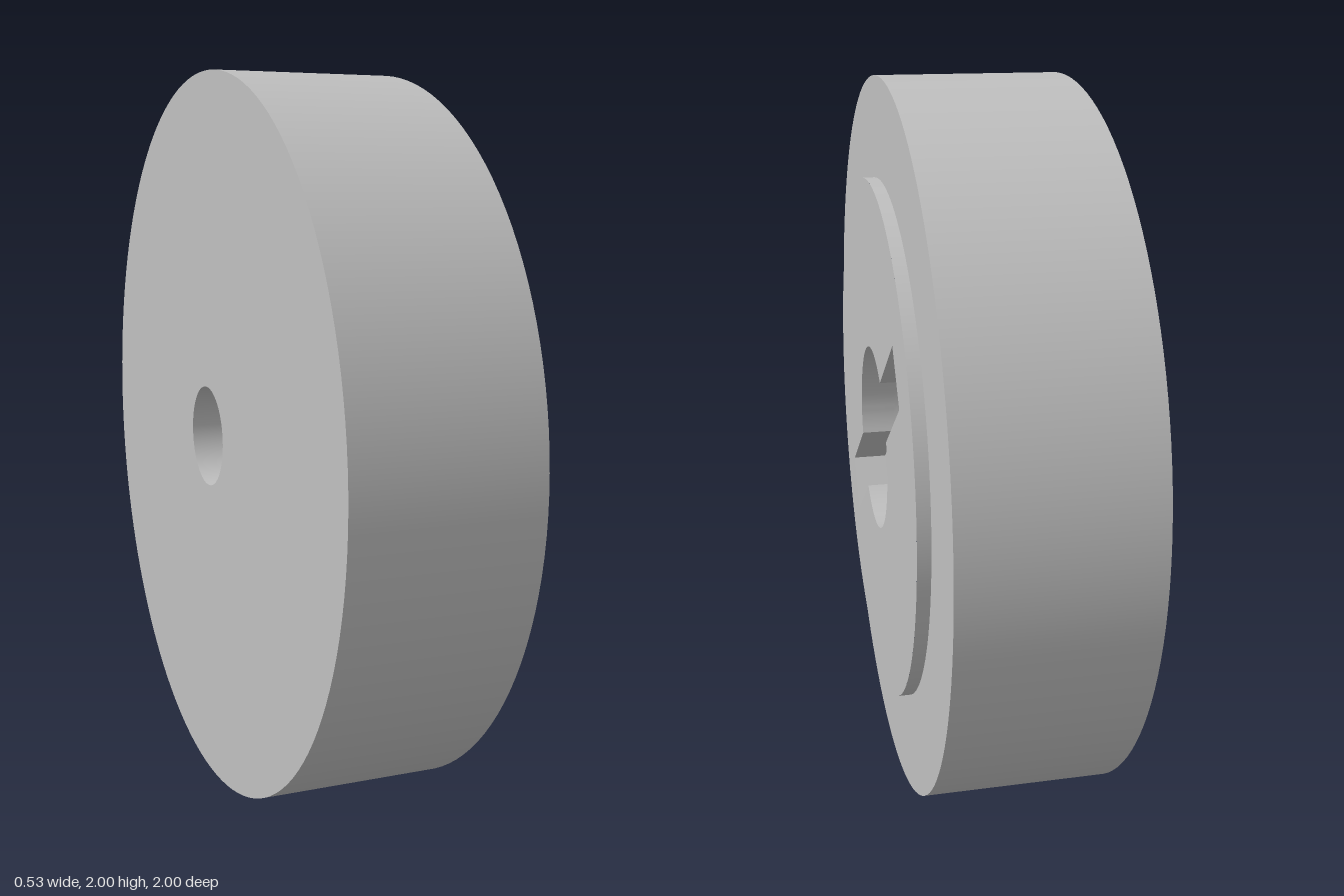
import * as THREE from 'three';
import { toCreasedNormals } from 'three/addons/utils/BufferGeometryUtils.js';

const BORE = 0.26, HOLE = 0.14, BOSS = 0.73, RIM = 1;
const BACK = -0.265, SHOULDER = 0.23, FACE = 0.265; // along the axle
const BORE_FLOOR = -0.015, SLOT_FLOOR = 0.165;
const SLOT_HALF = 0.083, SLOT_LENGTH = 0.545, SLOT_ANGLE = 0.616;
const SEGMENTS = 128;

// points on the bore circle between two angles
function arc(from, to, steps) {
  return Array.from({ length: steps + 1 }, (_, i) => {
    const a = from + ((to - from) * i) / steps;
    return new THREE.Vector2(BORE * Math.cos(a), BORE * Math.sin(a));
  });
}

export function createModel() {
  const grey = new THREE.MeshStandardMaterial({ color: 0xbfbfbf });
  grey.name = 'grey';
  const model = new THREE.Group();
  model.name = 'wheel';
  const add = (name, geometry) => {
    const mesh = new THREE.Mesh(geometry, grey);
    mesh.name = name;
    model.add(mesh);
  };

  // turned surfaces, one per profile segment so the edges stay sharp
  const profile = [
    [BORE, SLOT_FLOOR], [BORE, BORE_FLOOR], [HOLE, BORE_FLOOR], [HOLE, BACK],
    [RIM, BACK], [RIM, SHOULDER], [BOSS, SHOULDER], [BOSS, FACE],
  ].map(([r, h]) => new THREE.Vector2(r, h));
  const names = ['boreWall', 'boreFloor', 'axleHole', 'backFace', 'rim', 'shoulder', 'bossEdge'];
  names.forEach((name, i) => {
    const geometry = new THREE.LatheGeometry([profile[i], profile[i + 1]], SEGMENTS);
    add(name, geometry.rotateZ(-Math.PI / 2));
  });

  // lays a flat drawing onto the wheel at a given distance along the axle
  const place = (geometry, turn, x) =>
    geometry.rotateZ(turn).rotateY(Math.PI / 2).translate(x, 0, 0);

  // keyhole outline: bore circle with a slot on each side
  const a = Math.asin(SLOT_HALF / BORE);
  const slotEnd = [new THREE.Vector2(SLOT_LENGTH, -SLOT_HALF), new THREE.Vector2(SLOT_LENGTH, SLOT_HALF)];
  const half = [...slotEnd, ...arc(a, Math.PI - a, 48)];
  const outline = [...half, ...half.map((p) => p.clone().negate())];

  // boss face with the keyhole cut out
  const face = new THREE.Shape().absarc(0, 0, BOSS, 0, Math.PI * 2);
  face.holes.push(new THREE.Path(outline));
  add('bossFace', place(new THREE.ShapeGeometry(face, SEGMENTS / 2), SLOT_ANGLE, FACE));

  // walls of the keyhole
  const depth = FACE - SLOT_FLOOR;
  const corners = [];
  outline.forEach((p, i) => {
    const q = outline[(i + 1) % outline.length];
    corners.push(q.x, q.y, 0, p.x, p.y, 0, p.x, p.y, depth);
    corners.push(q.x, q.y, 0, p.x, p.y, depth, q.x, q.y, depth);
  });
  const walls = new THREE.BufferGeometry();
  walls.setAttribute('position', new THREE.Float32BufferAttribute(corners, 3));
  add('keyholeWalls', toCreasedNormals(place(walls, SLOT_ANGLE, SLOT_FLOOR), 0.5));

  // floors of the two slots
  const slot = new THREE.Shape([...slotEnd, ...arc(a, -a, 12)]);
  for (const turn of [0, Math.PI]) {
    add('slotFloor', place(new THREE.ShapeGeometry(slot), SLOT_ANGLE + turn, SLOT_FLOOR));
  }

  model.position.y = RIM;
  return model;
}
